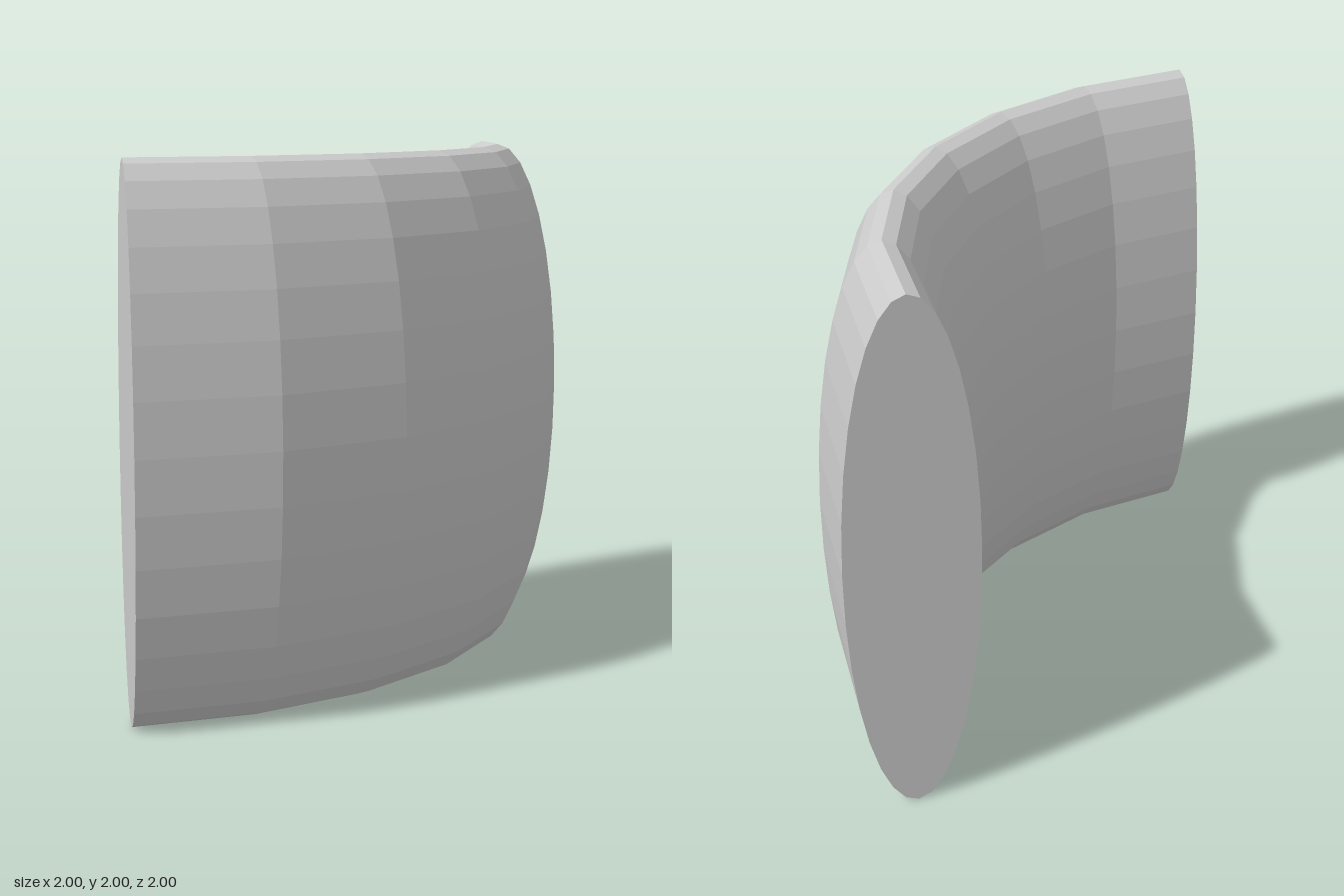
import * as THREE from 'three';

const BEND_RADIUS = 1.75;
const HALF_THICKNESS = 0.25;
const HALF_HEIGHT = 1;
const SIDES = 32;
const BEND_STEPS = 6;

export function createModel() {
  const model = new THREE.Group();
  model.name = 'ellipticalElbow';
  const material = new THREE.MeshStandardMaterial({ color: 0xcccccc, flatShading: true });
  const stretch = HALF_HEIGHT / HALF_THICKNESS;

  const add = (name, geometry, x, z) => {
    const mesh = new THREE.Mesh(geometry, material);
    mesh.name = name;
    mesh.position.set(x, HALF_HEIGHT, z);
    model.add(mesh);
  };

  // Quarter bend with a tall elliptical section, centred on the back right corner
  const bend = new THREE.TorusGeometry(BEND_RADIUS, HALF_THICKNESS, SIDES, BEND_STEPS, Math.PI / 2);
  bend.rotateX(Math.PI / 2).scale(1, stretch, 1);
  add('bend', bend, -1, -1);

  // Flat elliptical ends
  const makeCap = (turn) =>
    new THREE.CircleGeometry(HALF_THICKNESS, SIDES).scale(1, stretch, 1).rotateY(turn);
  add('backEnd', makeCap(Math.PI), BEND_RADIUS - 1, -1);
  add('rightEnd', makeCap(-Math.PI / 2), -1, BEND_RADIUS - 1);

  return model;
}
